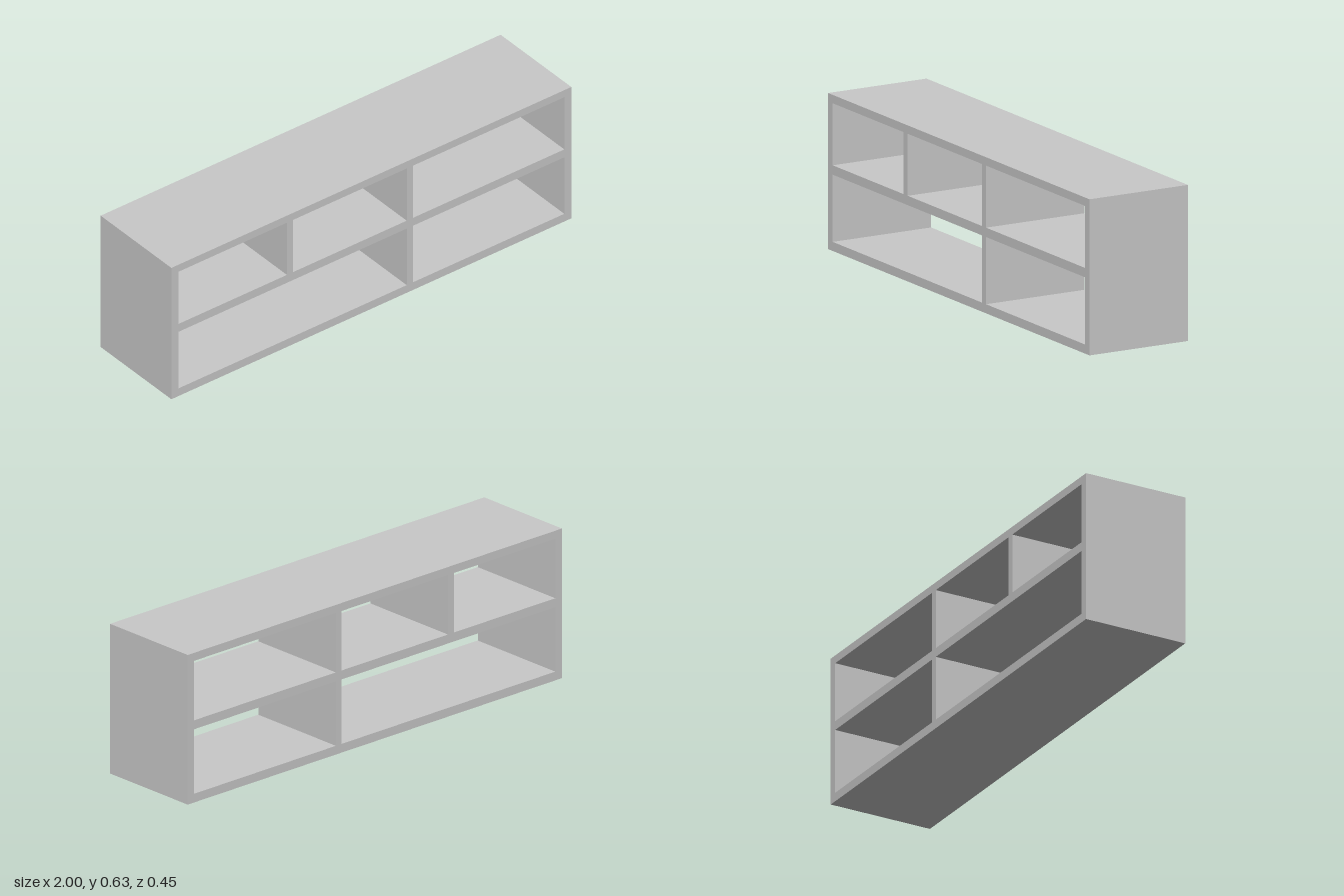
import * as THREE from 'three';

export function createModel() {
  const group = new THREE.Group();
  group.name = 'shelfUnit';
  const paint = new THREE.MeshStandardMaterial({ color: 0xc8c8c8 });
  paint.name = 'light grey';
  const depth = 0.452;

  // A board given by its left, right, bottom and top edges seen from the front
  const board = (name, x0, x1, y0, y1) => {
    const mesh = new THREE.Mesh(new THREE.BoxGeometry(x1 - x0, y1 - y0, depth), paint);
    mesh.position.set((x0 + x1) / 2, (y0 + y1) / 2, 0);
    mesh.name = name;
    group.add(mesh);
  };

  const height = 0.634, inner = 0.965;
  const lower = [0.037, 0.31], upper = [0.348, 0.6];

  // Outer case
  board('rightSide', -1, -inner, 0, height);
  board('leftSide', inner, 1, 0, height);
  board('bottomPanel', -inner, inner, 0, lower[0]);
  board('middleShelf', -inner, inner, lower[1], upper[0]);
  board('topPanel', -inner, inner, upper[1], height);

  // Upright dividers
  board('lowerDivider', 0.177, 0.208, ...lower);
  board('upperDividerLeft', 0.177, 0.208, ...upper);
  board('upperDividerRight', -0.422, -0.391, ...upper);

  return group;
}
